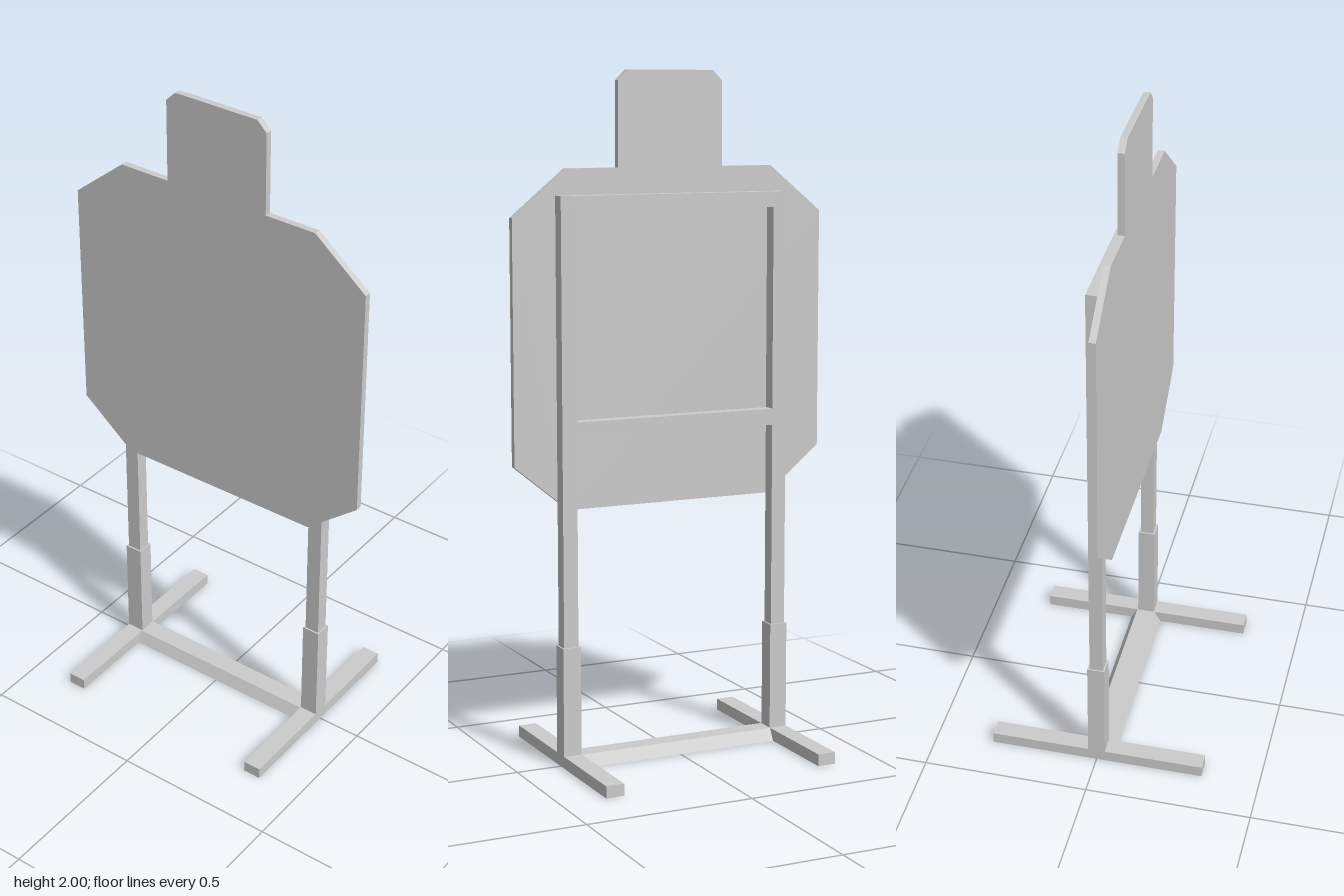
import * as THREE from 'three';

const material = new THREE.MeshStandardMaterial({ color: 0xcccccc, flatShading: true });

function polygon(points) {
  return new THREE.Shape(points.map(([x, y]) => new THREE.Vector2(x, y)));
}

// Rectangular ring or solid rectangle, centred on the origin
function rectangle(w, d) {
  return [[-w / 2, -d / 2], [w / 2, -d / 2], [w / 2, d / 2], [-w / 2, d / 2]];
}

function extrude(shape, depth) {
  return new THREE.ExtrudeGeometry(shape, { depth, bevelEnabled: false });
}

export function createModel() {
  const model = new THREE.Group();
  model.name = 'targetStand';

  const add = (name, geometry, x = 0, y = 0, z = 0) => {
    const mesh = new THREE.Mesh(geometry, material);
    mesh.name = name;
    mesh.position.set(x, y, z);
    model.add(mesh);
    return mesh;
  };
  const box = (name, w, h, d, x, y, z) =>
    add(name, new THREE.BoxGeometry(w, h, d), x, y, z);

  // Target plate: half outline, mirrored
  const half = [
    [0.325, 0.75], [0.49, 0.885], [0.49, 1.59], [0.325, 1.725],
    [0.165, 1.725], [0.165, 1.97], [0.135, 2],
  ];
  const outline = [...half, ...half.map(([x, y]) => [-x, y]).reverse()];
  add('targetPlate', extrude(polygon(outline), 0.02), 0, 0, 0.021);

  // Frame rails behind the plate
  const postX = 0.337, postW = 0.045, frameD = 0.04;
  const railW = 2 * postX - postW;
  box('topRail', railW, 0.045, frameD, 0, 1.6275, 0);
  box('middleRail', railW, 0.048, frameD, 0, 0.985, 0);

  for (const side of [1, -1]) {
    const x = side * postX;
    const prefix = side > 0 ? 'left' : 'right';
    // Upright post, dropped into a square socket
    box(prefix + 'Post', postW, 1.61, frameD, x, 0.845, 0);
    const ring = polygon(rectangle(0.055, 0.052));
    ring.holes.push(new THREE.Path(polygon(rectangle(0.046, 0.041)).getPoints()));
    add(prefix + 'Socket', extrude(ring, 0.32), x, 0.035, 0).rotation.x = -Math.PI / 2;

    // Foot: a tray turned upside down, open underneath
    const rim = polygon(rectangle(0.055, 0.65));
    rim.holes.push(new THREE.Path(polygon(rectangle(0.037, 0.62)).getPoints()));
    add(prefix + 'FootWalls', extrude(rim, 0.03), x, 0, 0).rotation.x = -Math.PI / 2;
    box(prefix + 'FootTop', 0.055, 0.006, 0.65, x, 0.032, 0);
  }

  // Cross beam: folded channel with sloping sides, open underneath
  const channel = polygon([
    [0.048, 0], [0.029, 0.035], [-0.029, 0.035], [-0.048, 0],
    [-0.04, 0], [-0.025, 0.028], [0.025, 0.028], [0.04, 0],
  ]);
  const beamLength = 0.62;
  add('crossBeam', extrude(channel, beamLength), beamLength / 2, 0, 0).rotation.y = -Math.PI / 2;

  return model;
}
